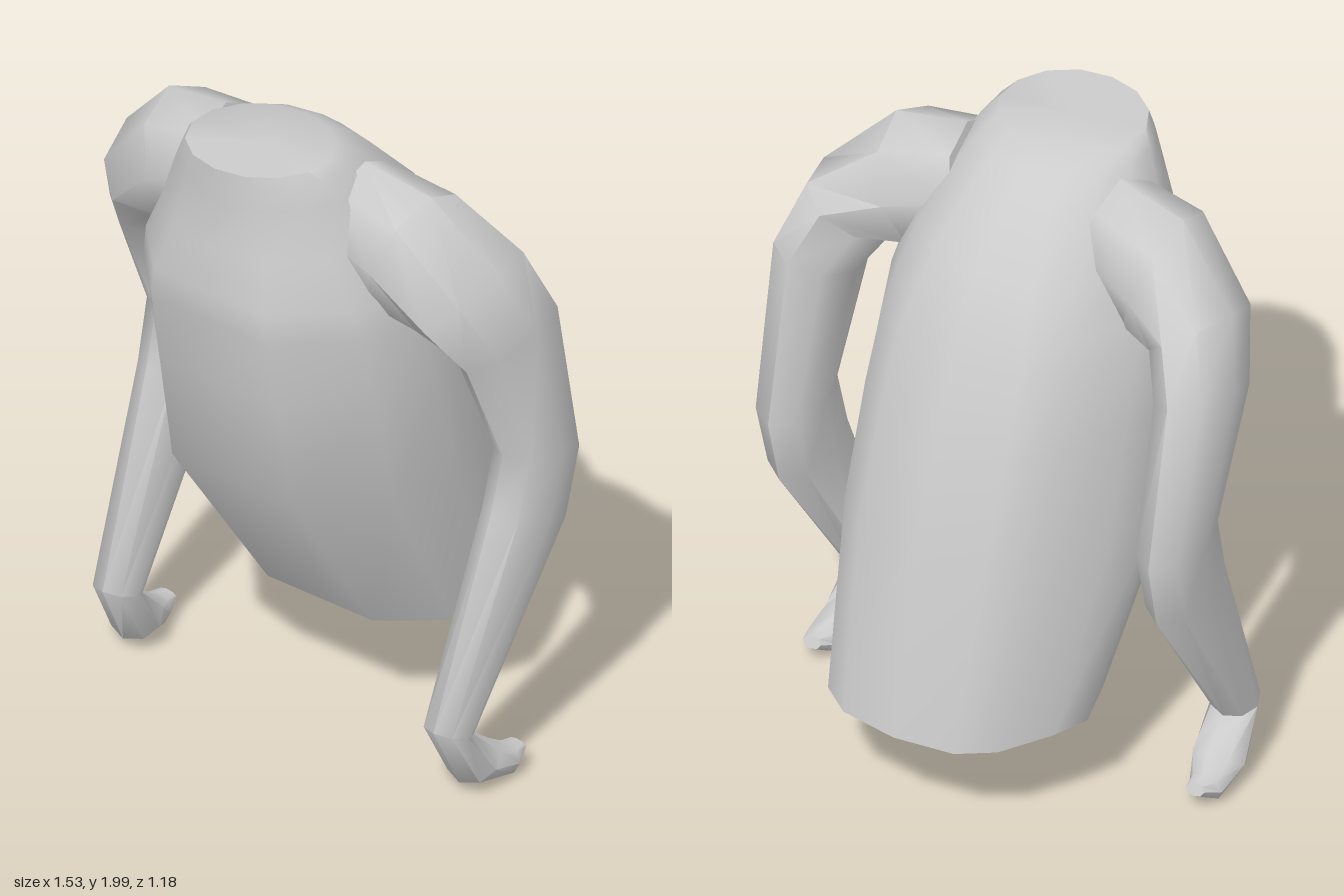
import * as THREE from 'three';
import { toCreasedNormals } from 'three/addons/utils/BufferGeometryUtils.js';

// Skin a list of equal-length rings (counter-clockwise about the travel direction), capping both ends
function loft(rings, crease) {
  const pos = [];
  const tri = (a, b, c) => pos.push(...a, ...b, ...c);
  const n = rings[0].length;
  const middle = (ring) => [0, 1, 2].map((k) => ring.reduce((s, p) => s + p[k], 0) / n);
  const first = rings[0], last = rings[rings.length - 1];
  const c0 = middle(first), c1 = middle(last);
  for (let i = 0; i < n; i++) {
    const j = (i + 1) % n;
    for (let r = 0; r < rings.length - 1; r++) {
      const a = rings[r], b = rings[r + 1];
      tri(a[i], a[j], b[j]);
      tri(a[i], b[j], b[i]);
    }
    tri(c0, first[j], first[i]);
    tri(c1, last[i], last[j]);
  }
  const geo = new THREE.BufferGeometry();
  geo.setAttribute('position', new THREE.Float32BufferAttribute(pos, 3));
  return toCreasedNormals(geo, crease);
}

// Torso: half outline as (share of half width, share of depth from front to back)
const OUTLINE = [[0, 0], [0.47, 0], [0.88, 0.22], [1, 0.45], [0.9, 0.62], [0.69, 0.85], [0.45, 0.96], [0, 1]];

// y, front z, back z, half width, roundness (1 = ellipse, as at the neck)
const TORSO = [
  [2.0, 0.56, 0.15, 0.225, 1],
  [1.965, 0.56, 0.08, 0.26, 0.9],
  [1.9, 0.56, 0.0, 0.3, 0.8],
  [1.74, 0.565, -0.16, 0.38, 0.5],
  [1.6, 0.59, -0.235, 0.44, 0.1],
  [1.5, 0.58, -0.285, 0.465, 0],
  [1.28, 0.54, -0.37, 0.475, 0],
  [0.93, 0.48, -0.48, 0.48, 0],
  [0.36, 0.09, -0.59, 0.42, 0],
];

function torsoRing([y, front, back, w, round]) {
  const half = OUTLINE.map(([x, t], i) => {
    const a = (Math.PI * i) / (OUTLINE.length - 1);
    const sx = THREE.MathUtils.lerp(x, Math.sin(a), round);
    const st = THREE.MathUtils.lerp(t, (1 - Math.cos(a)) / 2, round);
    return [sx * w, y, THREE.MathUtils.lerp(front, back, st)];
  });
  const rightSide = half.map(([x, h, z]) => [-x, h, z]);
  return [...rightSide, ...half.slice(1, -1).reverse()];
}

// Arm sections from shoulder to fingertips:
// centre x, y, z, then the outward half axis (x, y) and the forward half axis (y, z)
const ARM = [
  [0.22, 1.78, 0.2, 0.04, 0.18, 0, 0.16],
  [0.42, 1.72, 0.18, 0.07, 0.2, 0, 0.19],
  [0.585, 1.615, 0.12, 0.115, 0.09, -0.05, 0.2],
  [0.65, 1.46, 0.03, 0.115, 0.04, -0.05, 0.18],
  [0.65, 1.03, -0.1, 0.1, 0, 0.03, 0.15],
  [0.645, 0.83, -0.05, 0.095, 0, 0.05, 0.15],
  [0.62, 0.23, 0.255, 0.075, 0, 0.02, 0.068],
  [0.63, 0.09, 0.155, 0.085, 0, -0.045, 0.065],
  [0.655, 0.06, 0.045, 0.055, 0, -0.047, 0.01],
  [0.655, 0.083, -0.012, 0.03, 0, -0.018, -0.008],
];

function armRing([cx, cy, cz, ax, ay, by, bz], side) {
  const ring = [];
  for (let i = 0; i < 8; i++) {
    const c = Math.cos((i * Math.PI) / 4), s = Math.sin((i * Math.PI) / 4);
    ring.push([side * (cx + ax * c), cy + ay * c + by * s, cz + bz * s]);
  }
  return side > 0 ? ring : ring.reverse();
}

export function createModel() {
  const group = new THREE.Group();
  group.name = 'headlessUpperBody';
  const material = new THREE.MeshStandardMaterial({ color: 0xcccccc });
  const add = (name, geometry) => {
    const mesh = new THREE.Mesh(geometry, material);
    mesh.name = name;
    group.add(mesh);
  };

  add('torso', loft(TORSO.map(torsoRing), 0.95));

  // Mirrored arms, each ending in a hand curled backwards
  for (const [name, side] of [['leftArm', 1], ['rightArm', -1]]) {
    add(name, loft(ARM.map((row) => armRing(row, side)), 0.9));
  }
  return group;
}
